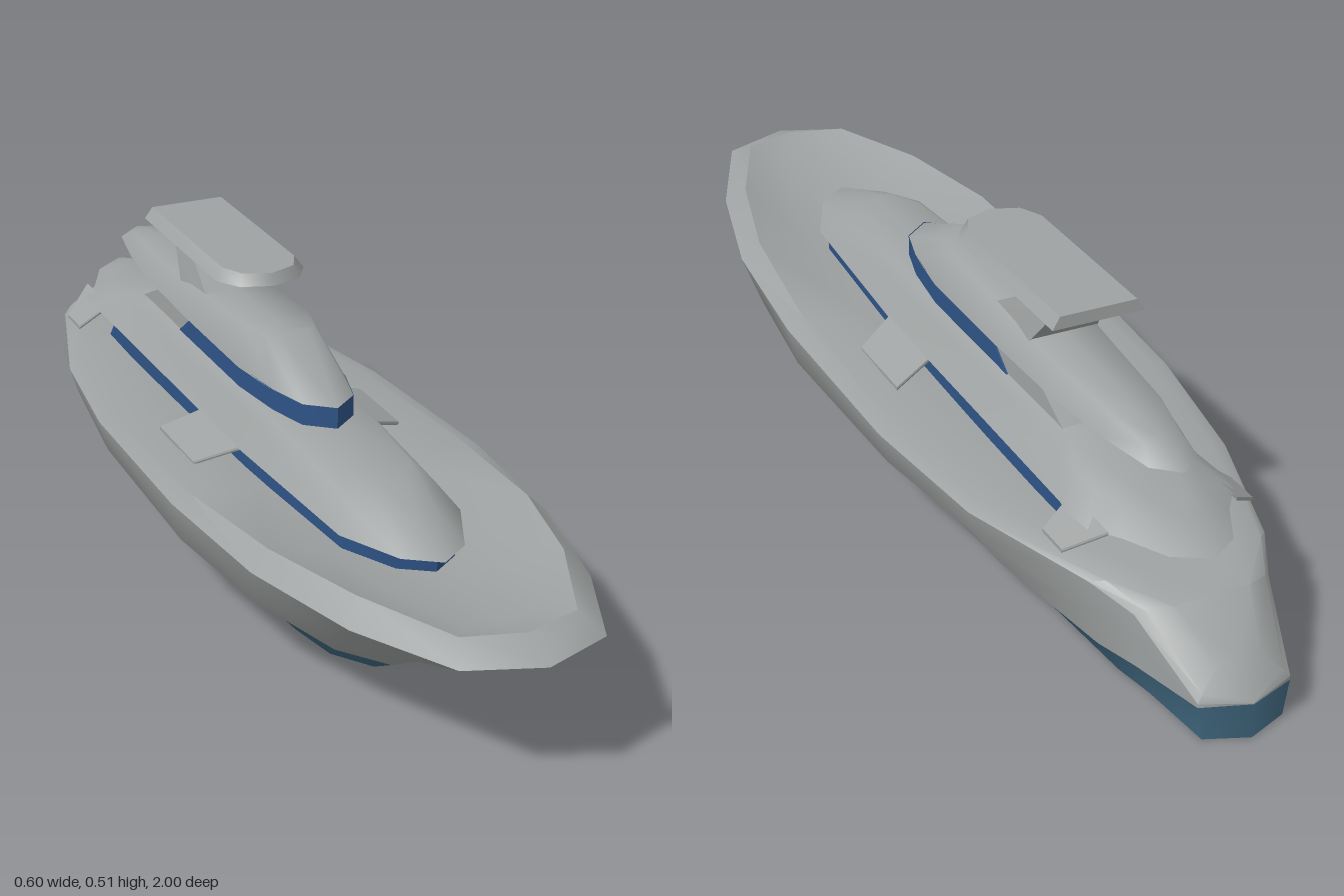
import * as THREE from 'three';
import { toCreasedNormals } from 'three/addons/utils/BufferGeometryUtils.js';

const paint = (color) => new THREE.MeshStandardMaterial({ color, side: THREE.DoubleSide });
const grey = paint(0x9fa2a2);
const bootBlue = paint(0x426a82);
const glass = paint(0x2e5386);

// One lengthwise line of points, bow to stern; a single number repeats along the line
function line(x, y, z) {
  const at = (v, i) => (Array.isArray(v) ? v[i] : v);
  return z.map((_, i) => new THREE.Vector3(at(x, i), at(y, i), z[i]));
}

// Skins a stack of lines (underside, outwards, up, inwards) and mirrors it to the other side
function loft(name, material, lines, crease = 1) {
  const pos = [];
  const area = new THREE.Triangle();
  const tri = (a, b, c) => {
    if (area.set(a, b, c).getArea() < 1e-7) return;
    for (const p of [a, b, c]) pos.push(p.x, p.y, p.z);
    for (const p of [a, c, b]) pos.push(-p.x, p.y, p.z);
  };
  for (let r = 0; r < lines.length - 1; r++) {
    for (let s = 0; s < lines[r].length - 1; s++) {
      const a = lines[r][s], b = lines[r][s + 1];
      const c = lines[r + 1][s + 1], d = lines[r + 1][s];
      tri(a, b, c);
      tri(a, c, d);
    }
  }
  const geo = new THREE.BufferGeometry();
  geo.setAttribute('position', new THREE.Float32BufferAttribute(pos, 3));
  const mesh = new THREE.Mesh(toCreasedNormals(geo, crease), material);
  mesh.name = name;
  return mesh;
}

// Pair of thin sloping wings: inner and outer edges, each [x, y, zFront, zAft]
function wings(name, inner, outer, t) {
  const edge = ([x, y, z0, z1], drop) =>
    line(x, [y - t / 2, y - drop, y - drop, y - t / 2], [z0, z0 - 0.001, z1 + 0.001, z1]);
  return loft(name, grey, [edge(inner, t), edge(outer, t), edge(outer, 0), edge(inner, 0)], 0.3);
}

export function createModel() {
  const yacht = new THREE.Group();
  yacht.name = 'motorYacht';

  // Hull lines from keel to deck centre
  const aft = [-0.2, -0.48, -0.75, -0.83, -0.97, -1];
  const bottomZ = [0.53, 0.52, 0.45, 0.35, 0.15, ...aft];
  const bottom = line([0, 0.06, 0.11, 0.13, 0.135, 0.135, 0.125, 0.105, 0.09, 0.075, 0], 0, bottomZ);
  const boot = line([0, 0.08, 0.145, 0.18, 0.2, 0.2, 0.185, 0.145, 0.12, 0.085, 0], 0.065,
    [0.64, 0.625, 0.54, 0.4, 0.18, ...aft]);
  const knuckle = line([0, 0.1, 0.19, 0.255, 0.285, 0.275, 0.235, 0.163, 0.125, 0.085, 0],
    [0.145, 0.145, 0.14, 0.14, 0.14, 0.14, 0.14, 0.135, 0.12, 0.068, 0.065],
    [0.78, 0.75, 0.64, 0.46, 0.2, ...aft]);
  const sheer = line([0, 0.13, 0.22, 0.28, 0.302, 0.29, 0.25, 0.165, 0.125, 0.085, 0],
    [0.245, 0.243, 0.23, 0.222, 0.215, 0.2, 0.19, 0.192, 0.166, 0.072, 0.066],
    [1, 0.95, 0.75, 0.5, 0.2, ...aft]);
  const rim = line([0, 0.105, 0.19, 0.245, 0.268, 0.26, 0.222, 0.145, 0.112, 0.075, 0],
    [0.27, 0.27, 0.267, 0.255, 0.23, 0.208, 0.2, 0.201, 0.178, 0.085, 0.067],
    [0.93, 0.9, 0.71, 0.49, 0.2, -0.2, -0.48, -0.77, -0.84, -0.965, -1]);
  const deckY = [0.256, 0.246, 0.226, 0.218, 0.208, 0.201, 0.198, 0.205, 0.185, 0.118, 0.067];
  const deckZ = [0.89, 0.84, 0.66, 0.48, 0.2, -0.2, -0.48, -0.77, -0.86, -0.95, -1];
  const deck = line([0, 0.05, 0.1, 0.13, 0.14, 0.14, 0.13, 0.09, 0.07, 0.04, 0], deckY, deckZ);
  yacht.add(loft('hullBottom', bootBlue, [line(0, 0, bottomZ), bottom, boot]));
  yacht.add(loft('hullSides', grey, [boot, knuckle, sheer]));
  yacht.add(loft('bulwarkAndDeck', grey, [sheer, rim, deck, line(0, deckY, deckZ)], 0.6));

  // Main cabin windows
  const cabinX = [0, 0.055, 0.103, 0.118, 0.122, 0.122, 0];
  yacht.add(loft('mainCabinWindows', glass, [
    line(cabinX, 0.19, [0.62, 0.58, 0.47, 0.1, -0.3, -0.6, -0.6]),
    line(cabinX, 0.254, [0.63, 0.59, 0.48, 0.1, -0.3, -0.55, -0.55]),
  ]));

  // Main cabin roof with its long aft overhang
  const roofZ = [0.655, 0.61, 0.49, 0.1, -0.3, -0.6, -0.64, -0.69, -0.74, -0.82, -0.86];
  const roofY = [0.256, 0.254, 0.252, 0.25, 0.25, 0.25, 0.25, 0.25, 0.25, 0.252, 0.255];
  const topY = [0.32, 0.32, 0.32, 0.32, 0.32, 0.32, 0.318, 0.31, 0.3, 0.285, 0.275];
  const topZ = [0.46, 0.45, 0.4, 0.1, -0.3, -0.43, -0.51, -0.57, -0.63, -0.71, -0.77];
  yacht.add(loft('mainRoof', grey, [
    line(0, roofY, roofZ),
    line([0, 0.06, 0.115, 0.136, 0.138, 0.14, 0.145, 0.138, 0.1, 0.06, 0], roofY, roofZ),
    line([0, 0.045, 0.085, 0.103, 0.103, 0.1, 0.1, 0.095, 0.075, 0.045, 0],
      [0.29, 0.29, 0.295, 0.298, 0.298, 0.297, 0.293, 0.287, 0.28, 0.273, 0.268],
      [0.56, 0.53, 0.45, 0.1, -0.3, -0.52, -0.58, -0.63, -0.69, -0.77, -0.82]),
    line([0, 0.03, 0.06, 0.088, 0.088, 0.085, 0.08, 0.07, 0.055, 0.035, 0], topY, topZ),
    line(0, topY, topZ),
  ]));

  // Side wings amidships and at the aft end of the cabin
  yacht.add(wings('midshipWings', [0.12, 0.258, 0.115, -0.07], [0.208, 0.221, 0.07, -0.095], 0.007));
  yacht.add(wings('aftWings', [0.12, 0.262, -0.6, -0.73], [0.18, 0.219, -0.615, -0.685], 0.007));

  // Upper cabin windows and the solid block behind them
  const upperX = [0, 0.05, 0.072, 0.087, 0.087, 0];
  yacht.add(loft('upperCabinWindows', glass, [
    line(upperX, 0.315, [0.24, 0.2, 0.12, 0, -0.3, -0.3]),
    line(upperX, 0.36, [0.24, 0.2, 0.12, 0, -0.24, -0.24]),
  ]));
  const blockX = [0, 0.084, 0.082, 0];
  yacht.add(loft('upperCabinAftBlock', grey, [
    line(blockX, 0.31, [-0.27, -0.27, -0.51, -0.51]),
    line(blockX, 0.361, [-0.23, -0.23, -0.41, -0.41]),
  ]));

  // Upper cabin roof
  const upZ = [0.24, 0.2, 0.12, 0, -0.25, -0.45, -0.6, -0.72, -0.76];
  const upTopY = [0.434, 0.433, 0.431, 0.43, 0.42, 0.402, 0.396, 0.38, 0.368];
  const upTopZ = [0.06, 0.05, 0.03, -0.03, -0.22, -0.42, -0.59, -0.69, -0.74];
  yacht.add(loft('upperRoof', grey, [
    line(0, 0.358, upZ),
    line([0, 0.05, 0.072, 0.088, 0.088, 0.083, 0.068, 0.045, 0], 0.358, upZ),
    line([0, 0.03, 0.05, 0.066, 0.067, 0.06, 0.05, 0.035, 0], upTopY, upTopZ),
    line(0, upTopY, upTopZ),
  ], 1.3));

  // Raked mast carrying the hardtop
  yacht.add(loft('hardtopMast', grey, [
    line([0, 0.066, 0.066, 0], [0.415, 0.415, 0.4, 0.4], [-0.2, -0.2, -0.335, -0.335]),
    line([0, 0.05, 0.05, 0], 0.492, [-0.35, -0.35, -0.41, -0.41]),
  ]));

  // Hardtop: thin slab with bevelled sides and a rounded front
  const lowZ = [-0.035, -0.055, -0.1, -0.465, -0.465];
  const highZ = [-0.045, -0.065, -0.11, -0.462, -0.462];
  yacht.add(loft('hardtop', grey, [
    line(0, 0.491, lowZ),
    line([0, 0.06, 0.088, 0.088, 0], 0.491, lowZ),
    line([0, 0.052, 0.073, 0.073, 0], 0.513, highZ),
    line(0, 0.513, highZ),
  ], 0.8));

  return yacht;
}
